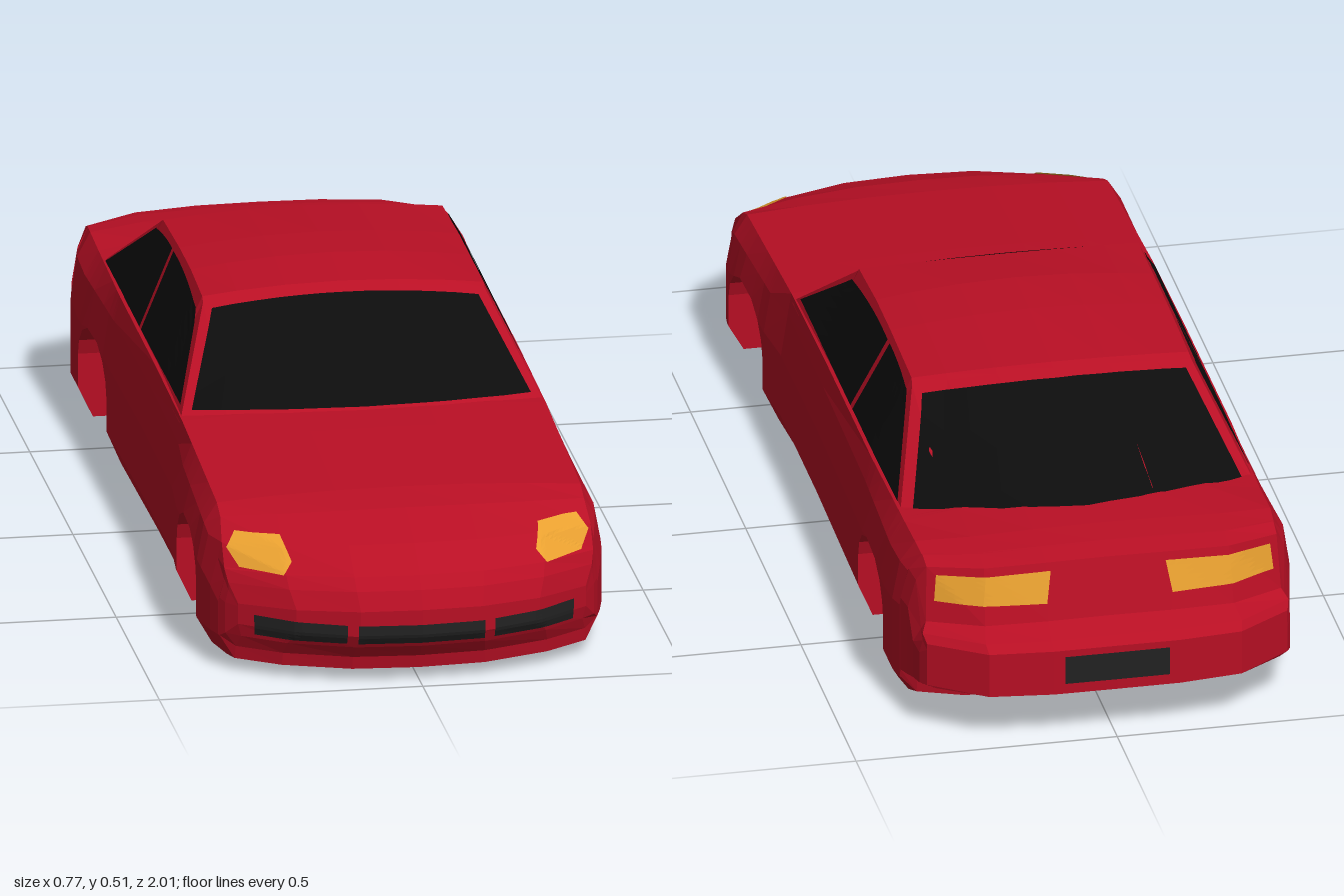
import * as THREE from 'three';

const paint = new THREE.MeshStandardMaterial({ color: 0xb80f24, flatShading: true });
const glass = new THREE.MeshStandardMaterial({ color: 0x0c0c0c, flatShading: true, side: THREE.DoubleSide });
const trim = new THREE.MeshStandardMaterial({ color: 0x222222, flatShading: true, side: THREE.DoubleSide });
const amber = new THREE.MeshStandardMaterial({ color: 0xe8a030, flatShading: true, side: THREE.DoubleSide });

// Skin a grid of points (rows of equal length); null points leave gaps
function skin(rows, name, material) {
  const pos = [];
  const tri = (a, b, c) => {
    if (!a || !b || !c) return;
    const n = new THREE.Vector3().subVectors(b, a).cross(new THREE.Vector3().subVectors(c, a));
    if (n.length() > 1e-9) for (const p of [a, b, c]) pos.push(p.x, p.y, p.z);
  };
  for (let i = 0; i + 1 < rows.length; i++) {
    for (let j = 0; j + 1 < rows[i].length; j++) {
      const a = rows[i][j], b = rows[i][j + 1], d = rows[i + 1][j], c = rows[i + 1][j + 1];
      tri(a, d, c);
      tri(a, c, b);
    }
  }
  const geo = new THREE.BufferGeometry();
  geo.setAttribute('position', new THREE.Float32BufferAttribute(pos, 3));
  geo.computeVertexNormals();
  const mesh = new THREE.Mesh(geo, material);
  mesh.name = name;
  return mesh;
}

// Body stations, nose to tail: z, floor, half width, top half width, top edge, top centre
const STATIONS = [
  [1.0, 0.10, 0.33, 0.33, 0.14, 0.15],
  [0.985, 0.075, 0.35, 0.345, 0.175, 0.185],
  [0.965, 0.05, 0.358, 0.35, 0.198, 0.208],
  [0.96, 0.025, 0.36, 0.35, 0.20, 0.212],
  [0.90, 0.022, 0.37, 0.35, 0.24, 0.25],
  [0.80, 0.02, 0.38, 0.345, 0.275, 0.288],
  [0.72, 0.015, 0.383, 0.345, 0.29, 0.303],
  [0.43, 0.005, 0.375, 0.345, 0.312, 0.325],
  [0.32, 0, 0.365, 0.345, 0.32, 0.332],
  [0, 0, 0.365, 0.345, 0.328, 0.335],
  [-0.40, 0, 0.37, 0.345, 0.33, 0.34],
  [-0.68, 0.005, 0.38, 0.34, 0.33, 0.358],
  [-0.80, 0.025, 0.38, 0.34, 0.335, 0.35],
  [-0.86, 0.04, 0.373, 0.337, 0.33, 0.343],
  [-0.865, 0.08, 0.372, 0.336, 0.33, 0.342],
  [-0.91, 0.085, 0.365, 0.335, 0.32, 0.333],
  [-0.94, 0.09, 0.36, 0.34, 0.215, 0.225],
  [-0.985, 0.095, 0.355, 0.35, 0.20, 0.205],
  [-1.0, 0.10, 0.345, 0.345, 0.185, 0.19],
];

function stationAt(z) {
  const i = STATIONS.findIndex((s, k) => k > 0 && s[0] <= z);
  const a = STATIONS[i - 1], b = STATIONS[i], t = (a[0] - z) / (a[0] - b[0]);
  return a.map((v, k) => v + (b[k] - v) * t);
}

// Sweep the corners of nose and tail back in plan
function bend(x, y, z) {
  const u = Math.abs(x) / 0.345;
  if (z > 0.72) z -= (z - 0.72) / 0.28 * 0.14 * u ** 2.5;
  if (z < -0.72) z += (-z - 0.72) / 0.28 * 0.09 * u ** 5;
  return new THREE.Vector3(x, y, z);
}

// Closed cross-section; lip is the height of the wheel opening, if any
function bodyRing([z, yb, w, wt, yE, yC], lip) {
  const yl = lip ?? yb, open = lip !== undefined;
  const yB = yb + (yE - yb) * 0.6, crown = yC - yE;
  const end = Math.abs(z) === 1;
  const half = [
    [0, yb], [0.35 * w, yb], [0.7 * w, yb], [0.7 * w, yl],
    [open || end ? w : 0.925 * w, yl],
    [w, Math.max(Math.min(0.065, yB), yl)],
    [w, Math.max(yB, yl)],
    [end ? w : Math.max(0.965 * w, wt), yB + (yE - yB) * 0.65],
    [wt, yE], [0.7 * wt, yE + crown * 0.55], [0.35 * wt, yE + crown * 0.9], [0, yC],
  ];
  const mirror = half.slice(0, -1).reverse().map(([x, y]) => [-x, y]);
  return [...half, ...mirror].map(([x, y]) => bend(x, y, z));
}

function buildBody() {
  const list = STATIONS.map((s) => ({ z: s[0], s }));
  for (const c of [0.575, -0.54]) {
    // Doubled stations at both ends form the upright walls of the wheel well
    const arch = [[0.135], [0.135, 0.13], [0.125, 0.16], [0.095, 0.19], [0.045, 0.21], [-0.045, 0.21],
      [-0.095, 0.19], [-0.125, 0.16], [-0.135, 0.13], [-0.135]];
    for (const [dz, lip] of arch) list.push({ z: c + dz, s: stationAt(c + dz), lip });
  }
  list.sort((a, b) => b.z - a.z);
  const rings = list.map(({ s, lip }) => bodyRing(s, lip));
  // Close nose and tail along a horizontal line
  const flat = (s, y) => bodyRing([s[0], y, s[2], s[3], y, y]);
  rings.unshift(flat(STATIONS[0], 0.125));
  rings.push(flat(STATIONS.at(-1), 0.15));
  return skin(rings, 'body', paint);
}

function buildCabin() {
  // Centre z, centre y, edge z, edge y, edge x
  const rows = [
    [0.36, 0.32, 0.30, 0.315, 0.345],
    [0.07, 0.488, 0.085, 0.474, 0.267],
    [0.06, 0.494, 0.075, 0.482, 0.267],
    [-0.07, 0.508, -0.07, 0.488, 0.265],
    [-0.20, 0.506, -0.20, 0.488, 0.265],
    [-0.40, 0.492, -0.39, 0.481, 0.265],
    [-0.415, 0.486, -0.405, 0.473, 0.267],
    [-0.75, 0.345, -0.64, 0.32, 0.34],
  ].map(([zc, yc, ze, ye, xe]) => {
    const arc = [1, 0.75, 0.4, 0, -0.4, -0.75, -1].map((u) =>
      new THREE.Vector3(u * xe, yc + (ye - yc) * u * u, zc + (ze - zc) * u * u));
    const belt = (s) => new THREE.Vector3(s * 0.347, 0.31, ze);
    return [belt(1), ...arc, belt(-1)];
  });
  return skin(rows, 'cabin', paint);
}

// Thin panel laid onto a target: rows of [left, right, bow] seen along axis 'x' or 'z' from side s
function panel(name, material, target, axis, s, rows, lift = 0.004) {
  const dir = axis === 'z' ? new THREE.Vector3(0, 0, -s) : new THREE.Vector3(-s, 0, 0);
  const ray = new THREE.Raycaster();
  const N = 12, M = 6, grid = [];
  const project = (h, y) => {
    const origin = axis === 'z' ? new THREE.Vector3(h, y, 3 * s) : new THREE.Vector3(3 * s, y, h);
    ray.set(origin, dir);
    const hit = ray.intersectObject(target)[0];
    return hit ? hit.point.clone().addScaledVector(dir, -lift) : null;
  };
  for (let r = 0; r + 1 < rows.length; r++) {
    for (let m = r ? 1 : 0; m <= M; m++) {
      const v = m / M, mix = (f) => f(rows[r]) * (1 - v) + f(rows[r + 1]) * v;
      const line = [];
      for (let n = 0; n <= N; n++) {
        const u = n / N;
        const h = mix((q) => q[0][0] + (q[1][0] - q[0][0]) * u);
        const y = mix((q) => q[0][1] + (q[1][1] - q[0][1]) * u + (q[2] ?? 0) * 4 * u * (1 - u));
        line.push(project(h, y));
      }
      grid.push(line);
    }
  }
  return skin(grid, name, material);
}

export function createModel() {
  const car = new THREE.Group();
  car.name = 'car';
  const body = buildBody(), cabin = buildCabin();
  car.add(body, cabin);

  // Windscreen and rear window
  car.add(panel('windscreen', glass, cabin, 'z', 1,
    [[[-0.322, 0.331], [0.322, 0.331], 0.005], [[-0.253, 0.467], [0.253, 0.467], 0.014]], 0.006));
  car.add(panel('rearWindow', glass, cabin, 'z', -1,
    [[[-0.315, 0.334], [0.315, 0.334], 0.02], [[-0.253, 0.466], [0.253, 0.466], 0.012]], 0.006));

  for (const s of [1, -1]) {
    const side = s > 0 ? 'left' : 'right';
    // Side windows, split by the door pillar
    car.add(panel(side + 'FrontWindow', glass, cabin, 'x', s,
      [[[0.265, 0.334], [-0.19, 0.334]], [[0.078, 0.461], [-0.215, 0.477], 0.006]]));
    car.add(panel(side + 'RearWindow', glass, cabin, 'x', s,
      [[[-0.207, 0.334], [-0.605, 0.334]], [[-0.232, 0.477], [-0.40, 0.463], 0.003]]));
    // Lamps
    car.add(panel(side + 'Headlight', amber, body, 'z', 1, [
      [[s * 0.25, 0.204], [s * 0.325, 0.206]],
      [[s * 0.232, 0.225], [s * 0.344, 0.235]],
      [[s * 0.245, 0.26], [s * 0.325, 0.26]],
    ], 0.006));
    car.add(panel(side + 'TailLight', amber, body, 'z', -1,
      [[[s * 0.12, 0.258], [s * 0.325, 0.258]], [[s * 0.11, 0.318], [s * 0.32, 0.308]]]));
    // Outer air intakes
    car.add(panel(side + 'Intake', trim, body, 'z', 1,
      [[[s * 0.14, 0.084], [s * 0.302, 0.084]], [[s * 0.14, 0.122], [s * 0.304, 0.124]]]));
  }
  car.add(panel('centreIntake', trim, body, 'z', 1,
    [[[-0.12, 0.084], [0.12, 0.084]], [[-0.12, 0.122], [0.12, 0.122]]]));
  car.add(panel('rearPlate', trim, body, 'z', -1,
    [[[-0.10, 0.122], [0.10, 0.122]], [[-0.10, 0.178], [0.10, 0.178]]]));
  return car;
}
